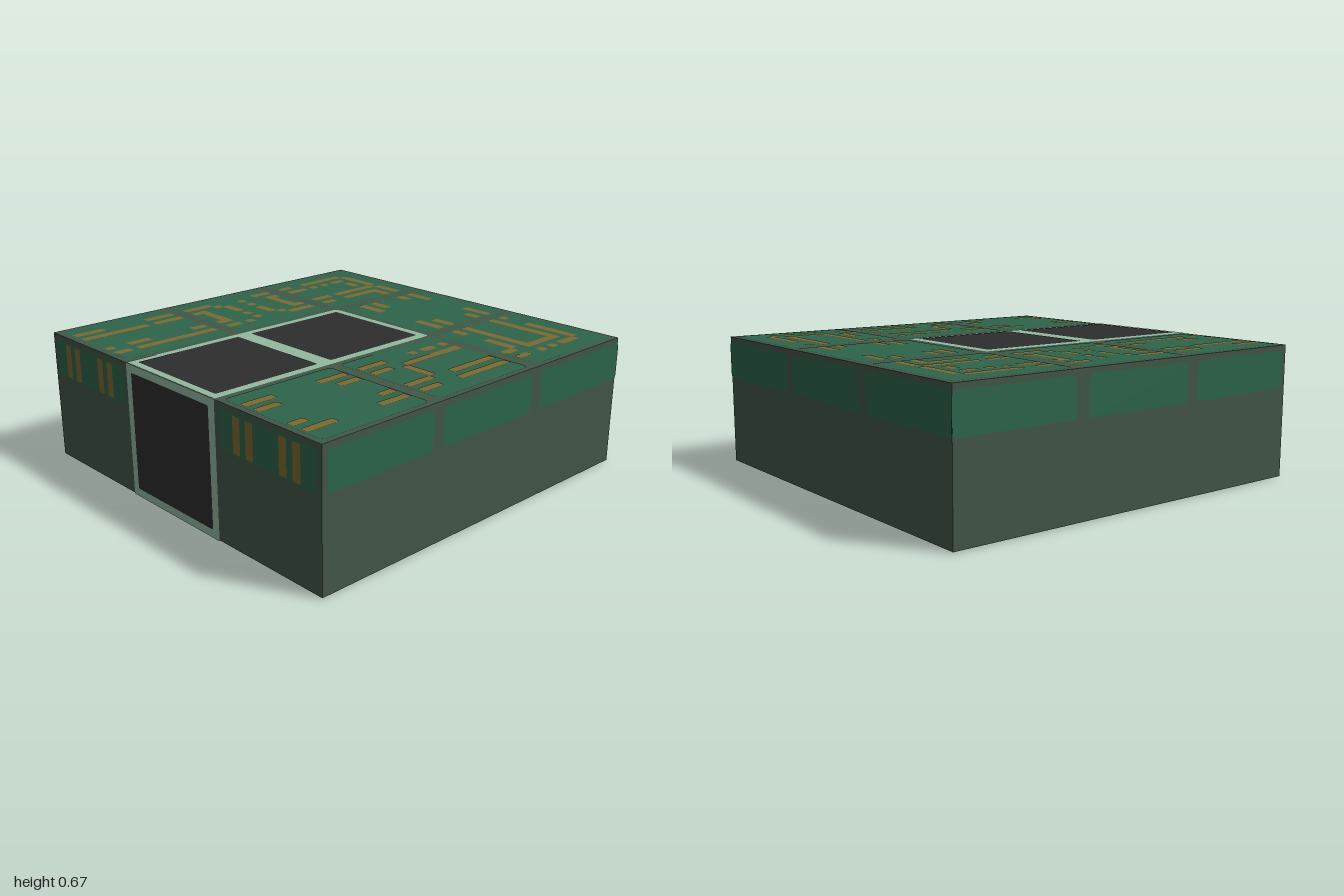
import * as THREE from 'three';

const CELL = 1 / 24, H = 16 * CELL, EPS = 0.002;

const paint = (name, color) => new THREE.MeshStandardMaterial({ name, color });

// Rounded rectangle in cell units (grown by g), centred on the face
function rect([x0, y0, x1, y1], w, h, g, r) {
  const a = (x0 - w / 2) * CELL - g, b = (x1 - w / 2) * CELL + g;
  const t = (h / 2 - y0) * CELL + g, d = (h / 2 - y1) * CELL - g;
  const s = new THREE.Shape();
  s.moveTo(a + r, d);
  s.lineTo(b - r, d); s.quadraticCurveTo(b, d, b, d + r);
  s.lineTo(b, t - r); s.quadraticCurveTo(b, t, b - r, t);
  s.lineTo(a + r, t); s.quadraticCurveTo(a, t, a, t - r);
  s.lineTo(a, d + r); s.quadraticCurveTo(a, d, a + r, d);
  return s;
}

export function createModel() {
  const model = new THREE.Group();
  model.name = 'circuitBlock';
  const casing = paint('greyGreen', 0x425647), board = paint('boardGreen', 0x2c654b);
  const copper = paint('copper', 0x80692f), mint = paint('mint', 0x93b9a0), dark = paint('charcoal', 0x2d2d2d);

  // Solid casing
  const body = new THREE.Mesh(new THREE.BoxGeometry(2 - 4 * EPS, H - 4 * EPS, 2 - 4 * EPS), casing);
  body.name = 'casing';
  body.position.y = H / 2;
  model.add(body);

  // A face group holds flat plates; cells count right and down from its top left
  function face(name, rx, ry, dist, h) {
    const g = new THREE.Group();
    g.name = name;
    g.rotation.set(rx, ry, 0);
    g.position.set(0, 0, dist).applyEuler(g.rotation);
    g.position.y += H / 2;
    model.add(g);
    return (part, rects, mat, layer, grow = 0, r = 0.01) => {
      const mesh = new THREE.Mesh(
        new THREE.ShapeGeometry(rects.map(c => rect(c, 48, h, grow, r)), 4), mat);
      mesh.name = part;
      mesh.position.z = (layer - 2) * EPS;
      g.add(mesh);
    };
  }
  const Q = Math.PI / 2;
  const top = face('topFace', -Q, 0, H / 2, 48);
  const bottom = face('bottomFace', Q, 0, H / 2, 48);
  const front = face('frontFace', 0, 0, 1, 16);
  const right = face('leftSideFace', 0, Q, 1, 16);
  const left = face('rightSideFace', 0, -Q, 1, 16);
  const back = face('backFace', 0, Math.PI, 1, 16);

  // Green board panels
  const spans = [[1, 15], [17, 31], [33, 47]];
  const tiles = [];
  for (const [x0, x1] of spans) for (const [y0, y1] of spans)
    if (x0 !== 17 || y0 === 1) tiles.push([x0, y0, x1, y1]);
  top('boardPanels', tiles, board, 1, 0.012, 0.035);
  const strip = xs => xs.map(([a, b]) => [a, 1, b, 5]);
  front('boardPanels', strip([[1, 15], [33, 47]]), board, 1, 0.01, 0.025);
  right('boardPanels', strip([[1, 15], [17, 31], [33, 47.75]]), board, 1, 0.01, 0.025);
  left('boardPanels', strip([[0.25, 15], [17, 31], [33, 47]]), board, 1, 0.01, 0.025);
  back('boardPanels', strip([[0.25, 15], [17, 31], [33, 47.75]]), board, 1, 0.01, 0.025);

  // Mint frame and dark windows wrapping top, front and bottom
  top('frame', [[16, 16, 32, 48]], mint, 1, 0, 0.02);
  top('windows', [[17, 17, 31, 31], [17, 33, 31, 47]], dark, 2);
  bottom('frame', [[16, 0, 32, 32]], mint, 1, 0, 0.02);
  bottom('windows', [[17, 1, 31, 15], [17, 17, 31, 31]], dark, 2);
  front('frame', [[16, 0, 32, 16]], mint, 1, 0, 0.005);
  front('window', [[17, 1, 31, 15]], dark, 2);

  // Copper traces along columns: column -> [first, last] rows
  const columns = {
    3: [[4, 10], [13, 14], [17, 19], [27, 30], [33, 36], [43, 46]],
    5: [[5, 6], [8, 8], [10, 10], [12, 14], [17, 18], [29, 30], [33, 36], [38, 46]],
    10: [[4, 10], [12, 14], [17, 18], [29, 30], [33, 34], [41, 43], [46, 46]],
    12: [[5, 10], [13, 14], [17, 20], [27, 27], [29, 30], [33, 43], [45, 46]],
    35: [[17, 17], [19, 20], [22, 22], [27, 30], [33, 36], [43, 46]],
    37: [[17, 24], [28, 30], [33, 35], [44, 46]],
    42: [[5, 10], [13, 14], [17, 23], [27, 30], [33, 34], [45, 46]],
    44: [[4, 6], [8, 8], [10, 10], [13, 14], [17, 24], [28, 30], [33, 36], [43, 46]],
  };
  // Copper traces along rows: row -> [first, last] columns
  const rows = {
    3: [[4, 9], [11, 14], [17, 20], [27, 30], [33, 33], [37, 43]],
    5: [[7, 8], [12, 14], [17, 18], [29, 30], [33, 42]],
    10: [[17, 19], [28, 30], [33, 42]],
    12: [[17, 20], [27, 30], [33, 34], [38, 41]],
    18: [[5, 10]], 21: [[11, 11]], 22: [[4, 4], [6, 6], [8, 10]],
    25: [[5, 7], [9, 9], [11, 11], [37, 37]], 26: [[4, 4], [38, 41]], 29: [[5, 10]],
  };
  const traces = [];
  for (const [c, list] of Object.entries(columns))
    for (const [a, b] of list) traces.push([+c, a, +c + 1, b + 1]);
  for (const [r, list] of Object.entries(rows))
    for (const [a, b] of list) traces.push([a, +r, b + 1, +r + 1]);
  top('traces', traces, copper, 2, 0.002, 0.01);
  front('traces', Object.keys(columns).map(c => [+c, 1, +c + 1, 5]), copper, 2, 0.002, 0.003);

  return model;
}
